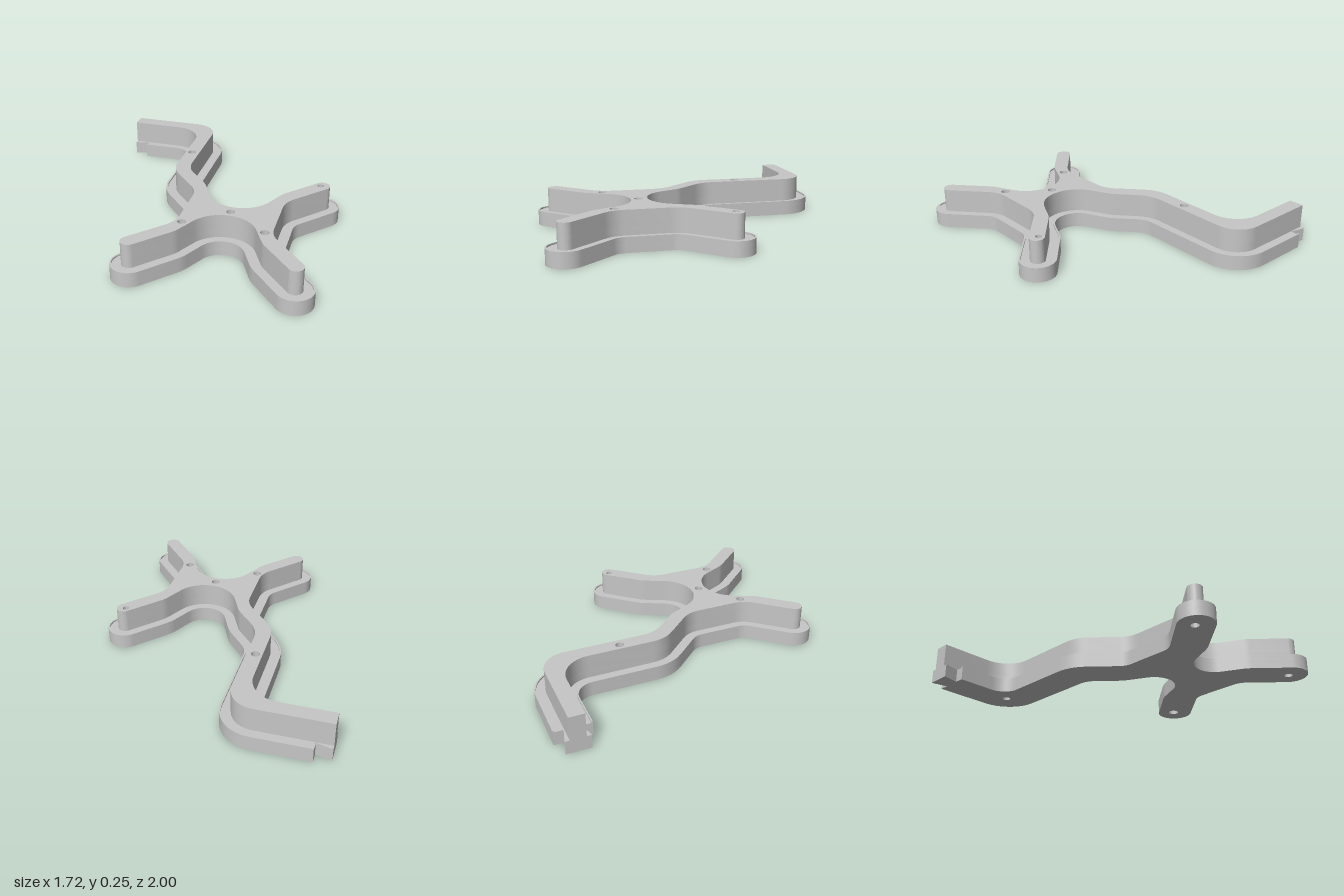
import * as THREE from 'three';
import { toCreasedNormals } from 'three/addons/utils/BufferGeometryUtils.js';

const CX = 0.235, CZ = 0.375; // middle of the cross

// One arm of the cross relative to its middle: [x, z, corner radius]
const ARM = [
  [0.095, 0.125, 0.149],
  [0.21, 0.363, 0.25],
  [0.491, 0.674, 0.12],
  [0.669, 0.514, 0.12],
  [0.37, 0.185, 0.12],
];
const arm = (sx, sz) => ARM.map(([x, z, r]) => [CX + sx * x, CZ + sz * z, r]);

// Corners of the outline, running from one side of the tail end to the other
function corners(endX) {
  const leftBack = arm(-1, -1);
  return [
    [endX, -1, 0], [-0.145, -1, 0.24], [-0.145, -0.176, 0.15],
    leftBack[1], leftBack[0],
    ...arm(1, -1), ...arm(1, 1).reverse(), ...arm(-1, 1),
    leftBack[4], [-0.385, -0.086, 0.3], [-0.385, -0.76, 0.125], [endX, -0.76, 0],
  ];
}

// Outline moved inward by inset, with its corners rounded
function outline(inset, endX) {
  const src = corners(endX - inset), n = src.length;
  const v = src.map((p) => new THREE.Vector2(p[0], p[1]));
  const dir = (i) => v[(i + 1) % n].clone().sub(v[i % n]).normalize();
  const points = [];
  const add = (p) => {
    if (!points.length || points[points.length - 1].distanceTo(p) > 1e-4) points.push(p);
  };
  for (let i = 0; i < n; i++) {
    const a = dir(i + n - 1), b = dir(i);
    const turn = Math.atan2(a.cross(b), a.dot(b));
    const na = new THREE.Vector2(-a.y, a.x), nb = new THREE.Vector2(-b.y, b.x);
    const corner = na.clone().add(nb).multiplyScalar(inset / (1 + na.dot(nb))).add(v[i]);
    if (src[i][2] === 0) { add(corner); continue; }
    const side = Math.sign(turn);
    const r = src[i][2] - side * inset;
    const start = corner.clone().addScaledVector(a, -r * Math.tan(Math.abs(turn) / 2));
    const center = start.clone().addScaledVector(na, side * r);
    const steps = Math.max(4, Math.ceil(Math.abs(turn) / 0.13));
    for (let k = 0; k <= steps; k++) {
      add(start.clone().rotateAround(center, (turn * k) / steps));
    }
  }
  return points;
}

// Flat slab between two heights, with round holes [x, z, radius]
function slab(name, points, y0, y1, material, holes = []) {
  const shape = new THREE.Shape(points);
  for (const [x, z, r] of holes) {
    shape.holes.push(new THREE.Path().absarc(x, z, r, 0, Math.PI * 2, true));
  }
  const geo = new THREE.ExtrudeGeometry(shape, { depth: y1 - y0, bevelEnabled: false, curveSegments: 16 });
  geo.rotateX(Math.PI / 2).translate(0, y1, 0);
  const mesh = new THREE.Mesh(toCreasedNormals(geo, 0.5), material);
  mesh.name = name;
  return mesh;
}

export function createModel() {
  const group = new THREE.Group();
  group.name = 'branchedRail';
  const grey = new THREE.MeshStandardMaterial({ color: 0xc6c6c6 });
  grey.name = 'grey';

  const END = -0.76, TIP = -0.865;
  const outer = outline(0, END);
  const inner = outline(0.01, END);
  const rail = outline(0.07, TIP);
  const through = [0.72, -0.13, 0.022];

  // Base with blind sockets underneath
  const sockets = [[0.72, -0.13, 0.036], [0.735, 0.87, 0.028], [-0.265, 0.87, 0.028], [-0.33, -0.82, 0.028]];
  group.add(slab('baseUnderside', outer, 0, 0.06, grey, sockets));
  group.add(slab('baseFloor', outer, 0.06, 0.09, grey, [through]));

  // Thin raised lip, open at the tail end
  group.add(slab('baseLip', [...outer, ...inner.reverse()], 0.09, 0.1, grey));

  // Raised rail with blind holes in its top
  const pits = [[-0.27, -0.41], [0.23, 0.38], [-0.03, 0.58], [0.49, 0.57]].map(([x, z]) => [x, z, 0.028]);
  group.add(slab('railFoot', rail, 0.09, 0.15, grey, [through]));
  group.add(slab('railTop', rail, 0.15, 0.25, grey, [through, ...pits]));

  // Dovetail connector at the tail end
  const dovetail = [[TIP, -0.96], [END, -0.935], [END, -0.825], [TIP, -0.8]].map((p) => new THREE.Vector2(...p));
  group.add(slab('dovetail', dovetail, 0, 0.09, grey));

  return group;
}
